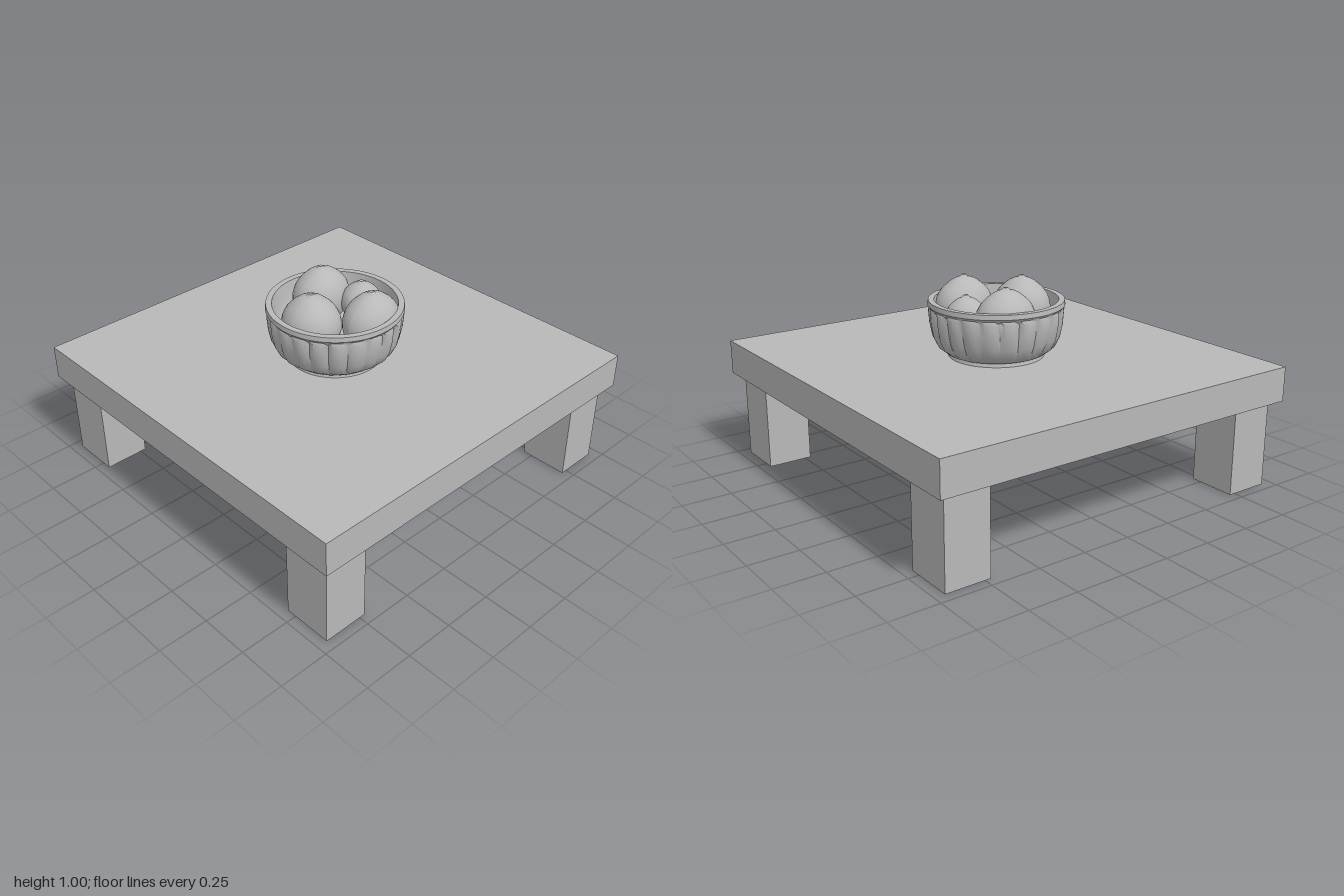
import * as THREE from 'three';
import { toCreasedNormals } from 'three/addons/utils/BufferGeometryUtils.js';

export function createModel() {
  const model = new THREE.Group();
  model.name = 'tableWithFruitBowl';
  const grey = new THREE.MeshStandardMaterial({ color: 0xb8b8b8 });
  grey.name = 'plainGrey';

  const add = (name, geometry, x, y, z, parent = model) => {
    const mesh = new THREE.Mesh(geometry, grey);
    mesh.name = name;
    mesh.position.set(x, y, z);
    parent.add(mesh);
    return mesh;
  };

  // Square table top on four block legs
  add('tableTop', new THREE.BoxGeometry(1.99, 0.175, 2), 0, 0.5325, 0);
  for (const sx of [-1, 1]) {
    for (const sz of [-1, 1]) {
      const name = (sz > 0 ? 'front' : 'back') + (sx > 0 ? 'Left' : 'Right') + 'Leg';
      add(name, new THREE.BoxGeometry(0.228, 0.445, 0.25), sx * 0.834, 0.2225, sz * 0.825);
    }
  }

  // Bowl: closed profile up the outside, over the rim and down the inside
  const profile = [
    [0, 0], [0.24, 0], [0.235, 0.018], [0.255, 0.024], [0.295, 0.055], [0.32, 0.105],
    [0.333, 0.17], [0.338, 0.235], [0.332, 0.25], [0.341, 0.262], [0.338, 0.286],
    [0.308, 0.286], [0.3, 0.24], [0.285, 0.15], [0.245, 0.09], [0.17, 0.062], [0, 0.058],
  ].map(([r, y]) => new THREE.Vector2(r, y));
  const bowl = new THREE.LatheGeometry(profile, 88);
  const pos = bowl.attributes.position;

  // Carve uneven upright flutes into the outer wall
  for (let i = 0; i < pos.count; i++) {
    const row = i % profile.length;
    if (row < 4 || row > 7) continue;
    const x = pos.getX(i), z = pos.getZ(i);
    const a = Math.atan2(x, z);
    const groove = Math.pow(0.5 + 0.5 * Math.cos(22 * a), 3);
    const k = 1 - 0.045 * groove * (0.75 + 0.25 * Math.sin(5 * a + row));
    pos.setX(i, x * k);
    pos.setZ(i, z * k);
  }
  add('bowl', toCreasedNormals(bowl, 0.6), 0.005, 0.62, 0);

  // Round fruit, drawn up to a soft point under a small stem
  const fruitShape = new THREE.SphereGeometry(1, 28, 20);
  const fp = fruitShape.attributes.position;
  for (let i = 0; i < fp.count; i++) {
    const y = fp.getY(i);
    if (y > 0.8) fp.setY(i, y + (y - 0.8) * 0.3);
  }
  fruitShape.computeVertexNormals();

  const fruits = [
    ['rightFruit', -0.147, 0.842, -0.005, 0.143, 0.145, 0.15],
    ['backFruit', 0.08, 0.842, -0.18, 0.155, 0.145, 0.13],
    ['frontFruit', 0.08, 0.842, 0.175, 0.155, 0.145, 0.127],
    ['leftSmallFruit', 0.19, 0.835, -0.005, 0.104, 0.1, 0.1],
  ];
  for (const [name, x, y, z, rx, ry, rz] of fruits) {
    const fruit = new THREE.Group();
    fruit.name = name;
    model.add(fruit);
    add(name + 'Body', fruitShape, x, y, z, fruit).scale.set(rx, ry, rz);
    const stem = new THREE.CylinderGeometry(0.012, 0.03, 0.016, 5);
    add(name + 'Stem', stem, x, y + ry * 1.06 + 0.001, z, fruit);
  }
  return model;
}
